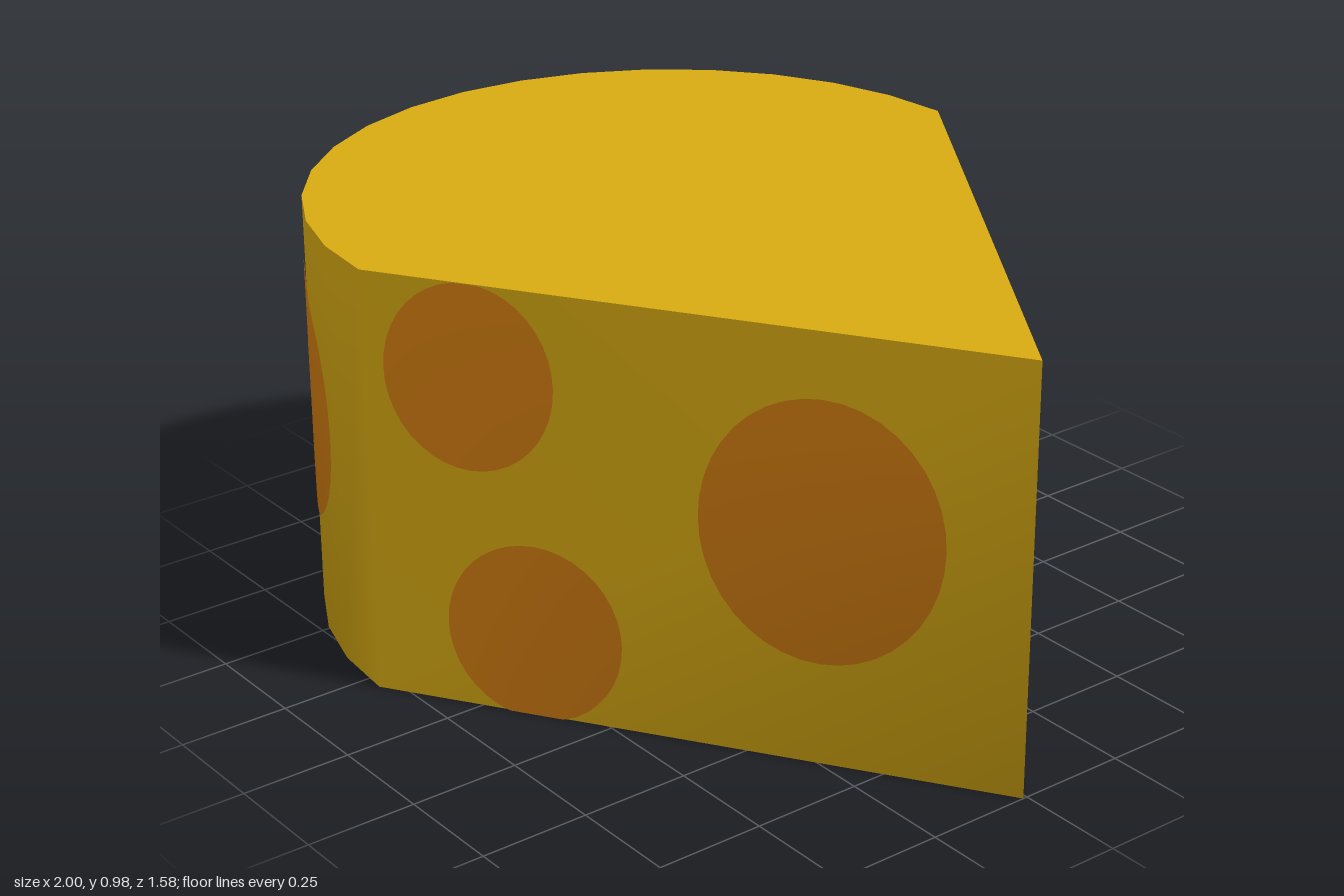
import * as THREE from 'three';

const BOTTOM = 0.005, TOP = 0.98, RADIUS = 0.79, CORNER_X = -0.205, ARC_STEPS = 16;

// Outline from the tip, along the back flat, round the arc and along the front flat to the tip
function makeOutline() {
  const pts = [[1, 0.01]];
  for (let i = 0; i <= ARC_STEPS; i++) {
    const a = (Math.PI * i) / ARC_STEPS;
    pts.push([CORNER_X - RADIUS * Math.sin(a), -RADIUS * Math.cos(a)]);
  }
  pts.push([1, 0.01]);
  return pts;
}

function indexed(positions, index) {
  const g = new THREE.BufferGeometry();
  g.setAttribute('position', new THREE.Float32BufferAttribute(positions, 3));
  g.setIndex(index);
  g.computeVertexNormals();
  return g;
}

export function createModel() {
  const group = new THREE.Group();
  const yellow = new THREE.MeshStandardMaterial({ color: 0xd8aa12 });
  yellow.name = 'cheese yellow';
  const orange = new THREE.MeshStandardMaterial({ color: 0xd67f11 });
  orange.name = 'hole orange';

  const add = (name, geometry, material) => {
    const mesh = new THREE.Mesh(geometry, material);
    mesh.name = name;
    group.add(mesh);
  };

  const outline = makeOutline();
  const n = outline.length, last = n - 1;

  // Walls and underside share their vertices, so the lower edge is shaded softly
  const positions = [], index = [];
  for (const y of [BOTTOM, TOP]) for (const [x, z] of outline) positions.push(x, y, z);
  for (let i = 0; i < last; i++) {
    index.push(i, i + 1, n + i + 1, i, n + i + 1, n + i);
    if (i > 0 && i < last - 1) index.push(i < last / 2 ? 0 : last, i + 1, i);
  }
  const shell = indexed(positions, index);
  add('wallsAndUnderside', shell, yellow);

  // Flat top with a sharp edge
  const topIndex = [];
  for (let i = 1; i < last - 1; i++) topIndex.push(0, i, i + 1);
  add('top', indexed(outline.flatMap(([x, z]) => [x, TOP, z]), topIndex), yellow);

  // Thin oval laid on the wall; u counts outline points, lean shears it sideways
  const normals = shell.attributes.normal;
  const read = (i) => new THREE.Vector3().fromBufferAttribute(normals, i);
  function spot(name, u0, y0, halfU, halfY, lean = 0) {
    const g = new THREE.RingGeometry(0, 1, 40, 12);
    const p = g.attributes.position;
    for (let k = 0; k < p.count; k++) {
      const v = p.getY(k);
      const u = u0 + halfU * p.getX(k) + lean * v;
      const y = THREE.MathUtils.clamp(y0 + halfY * v, BOTTOM, TOP);
      const i = Math.min(Math.floor(u), last - 1), f = u - i;
      const [ax, az] = outline[i], [bx, bz] = outline[i + 1];
      const low = read(i).lerp(read(i + 1), f);
      const high = read(n + i).lerp(read(n + i + 1), f);
      const normal = low.clone().lerp(high, (y - BOTTOM) / (TOP - BOTTOM)).normalize();
      const out = high.setY(0).normalize().multiplyScalar(0.004);
      p.setXYZ(k, ax + (bx - ax) * f + out.x, y, az + (bz - az) * f + out.z);
      g.attributes.normal.setXYZ(k, normal.x, normal.y, normal.z);
    }
    add(name, g, orange);
  }

  // Spots on the two flat sides, placed by x
  const flat = 1 - CORNER_X;
  const backSpot = (name, x, y, hx, hy) => spot(name, (1 - x) / flat, y, hx / flat, hy);
  const frontSpot = (name, x, y, hx, hy) => spot(name, last - (1 - x) / flat, y, hx / flat, hy);
  frontSpot('frontUpperSpot', -0.007, 0.772, 0.158, 0.21);
  frontSpot('frontLowerSpot', 0.105, 0.2, 0.165, 0.207);
  frontSpot('frontLargeSpot', 0.632, 0.538, 0.22, 0.297);
  backSpot('backLargeSpot', 0.63, 0.5, 0.245, 0.308);
  backSpot('backUpperSpot', 0.015, 0.757, 0.143, 0.197);
  backSpot('backLowerSpot', 0.04, 0.19, 0.15, 0.197);

  // Spots on the round side, placed by angle from the back corner
  const arcSpot = (name, degrees, y, half, hy, lean) => {
    const step = 180 / ARC_STEPS;
    spot(name, 1 + degrees / step, y, half / step, hy, lean);
  };
  arcSpot('roundBackSpot', 48.6, 0.61, 18.5, 0.25, 0.6);
  arcSpot('roundMiddleSpot', 93, 0.29, 17.5, 0.27, 0.7);
  arcSpot('roundFrontSpot', 146.8, 0.55, 19.6, 0.297, -0.2);

  return group;
}
